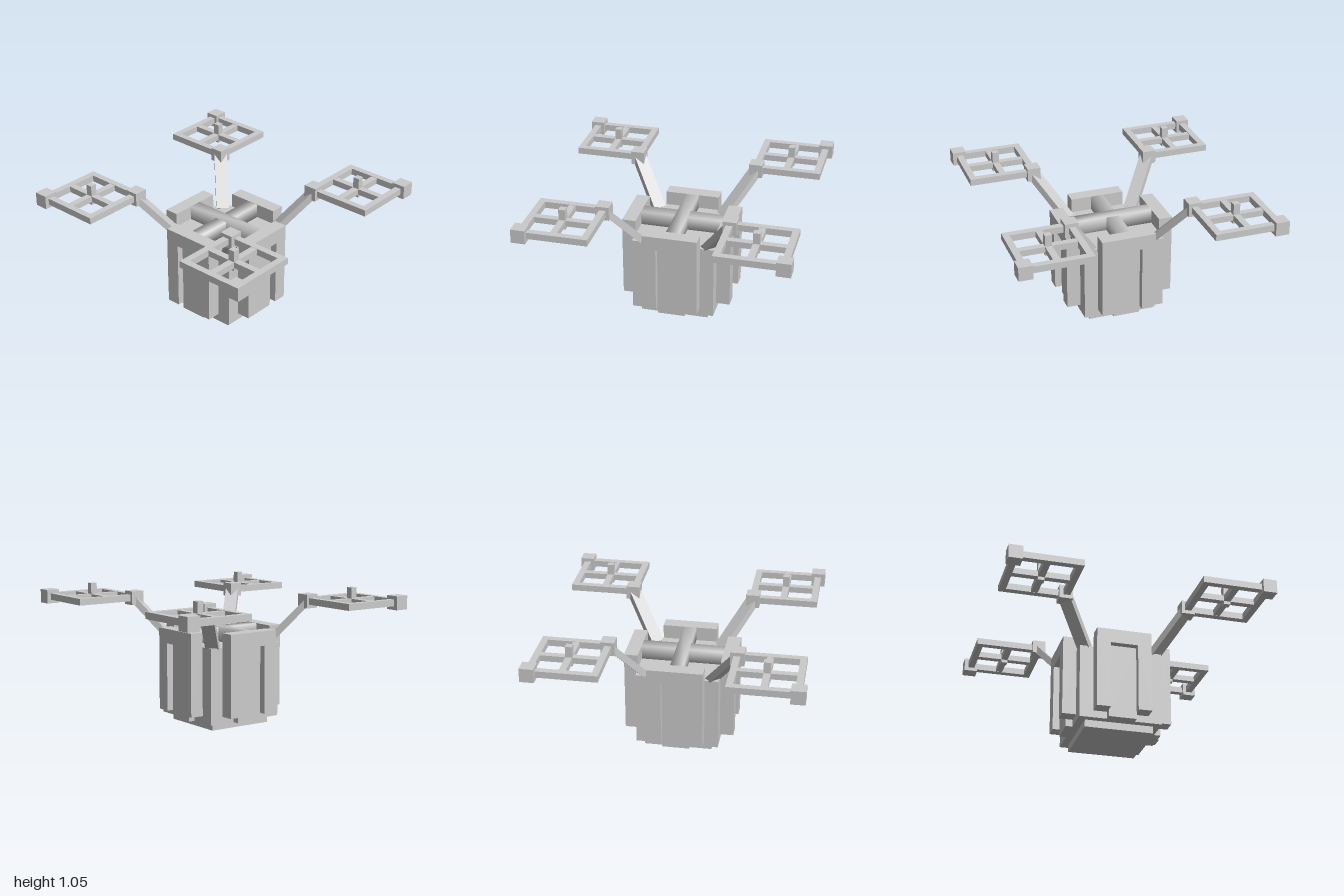
import * as THREE from 'three';
import { mergeVertices } from 'three/addons/utils/BufferGeometryUtils.js';

const grey = new THREE.MeshStandardMaterial({ color: 0xcccccc });

// Box given by its min and max corners
function box(parent, name, [x0, y0, z0], [x1, y1, z1]) {
  const mesh = new THREE.Mesh(new THREE.BoxGeometry(x1 - x0, y1 - y0, z1 - z0), grey);
  mesh.position.set((x0 + x1) / 2, (y0 + y1) / 2, (z0 + z1) / 2);
  mesh.name = name;
  parent.add(mesh);
  return mesh;
}

// Give a box shared corners so that its shading blends across edges
function soften(mesh) {
  const g = mesh.geometry;
  g.deleteAttribute('normal');
  g.deleteAttribute('uv');
  mesh.geometry = mergeVertices(g);
  mesh.geometry.computeVertexNormals();
}

// Arched panel with a raised infill, facing +z
function sidePanel() {
  const group = new THREE.Group();
  group.name = 'sidePanel';
  const arch = new THREE.Shape([
    [-0.21, 0.11], [-0.105, 0.11], [-0.105, 0.63], [0.105, 0.63],
    [0.105, 0.11], [0.21, 0.11], [0.21, 0.74], [-0.21, 0.74],
  ].map(([x, y]) => new THREE.Vector2(x, y)));
  const frame = new THREE.Mesh(
    new THREE.ExtrudeGeometry(arch, { depth: 0.105, bevelEnabled: false }), grey);
  frame.position.z = 0.315;
  frame.name = 'panelArch';
  group.add(frame);
  box(group, 'panelInfill', [-0.105, 0.055, 0.3], [0.105, 0.63, 0.367]);
  return group;
}

// Arm with rotor guard, built along the +x +z diagonal
function rotorArm() {
  const group = new THREE.Group();
  group.name = 'rotorArm';

  // Sloping strut
  const from = new THREE.Vector3(0.255, 0.615, 0.255);
  const to = new THREE.Vector3(0.475, 0.945, 0.475);
  const dir = to.clone().sub(from);
  const strut = new THREE.Mesh(new THREE.BoxGeometry(0.1, 0.05, dir.length()), grey);
  strut.position.copy(from).add(to).multiplyScalar(0.5);
  strut.lookAt(strut.position.clone().add(dir));
  strut.name = 'strut';
  group.add(strut);

  // Corner blocks
  box(group, 'innerBlock', [0.422, 0.895, 0.422], [0.525, 1, 0.525]);
  box(group, 'outerBlock', [0.895, 0.895, 0.895], [1, 1, 1]);

  // Square guard
  const a = 0.445, b = 0.97, t = 0.05;
  const square = (lo, hi) => [[lo, lo], [hi, lo], [hi, hi], [lo, hi]]
    .map(([x, y]) => new THREE.Vector2(x, y));
  const outline = new THREE.Shape(square(a, b));
  outline.holes.push(new THREE.Path(square(a + t, b - t).reverse()));
  const guard = new THREE.Mesh(
    new THREE.ExtrudeGeometry(outline, { depth: 0.05, bevelEnabled: false }), grey);
  guard.rotation.x = Math.PI / 2;
  guard.position.y = 0.973;
  guard.name = 'rotorGuard';
  group.add(guard);

  // Rotor bars and shaft
  const c = (a + b) / 2, h = 0.025;
  box(group, 'rotorBar', [a + t, 0.925, c - h], [b - t, 0.971, c + h]);
  box(group, 'rotorBar', [c - h, 0.925, a + t], [c + h, 0.971, b - t]);
  box(group, 'rotorShaft', [c - h, 0.9, c - h], [c + h, 1.055, c + h]);
  return group;
}

export function createModel() {
  const model = new THREE.Group();
  model.name = 'drone';

  // Body and base
  box(model, 'body', [-0.315, 0.055, -0.315], [0.315, 0.63, 0.315]);
  box(model, 'base', [-0.26, 0, -0.26], [0.26, 0.055, 0.26]);

  // Crossed beams on top, softly shaded
  soften(box(model, 'topBeamAcross', [-0.315, 0.63, -0.05], [0.315, 0.74, 0.05]));
  soften(box(model, 'topBeamAlong', [-0.05, 0.63, -0.315], [0.05, 0.738, 0.315]));

  // Four panels and four arms
  for (let i = 0; i < 4; i++) {
    for (const part of [sidePanel(), rotorArm()]) {
      part.rotation.y = i * Math.PI / 2;
      model.add(part);
    }
  }
  return model;
}
